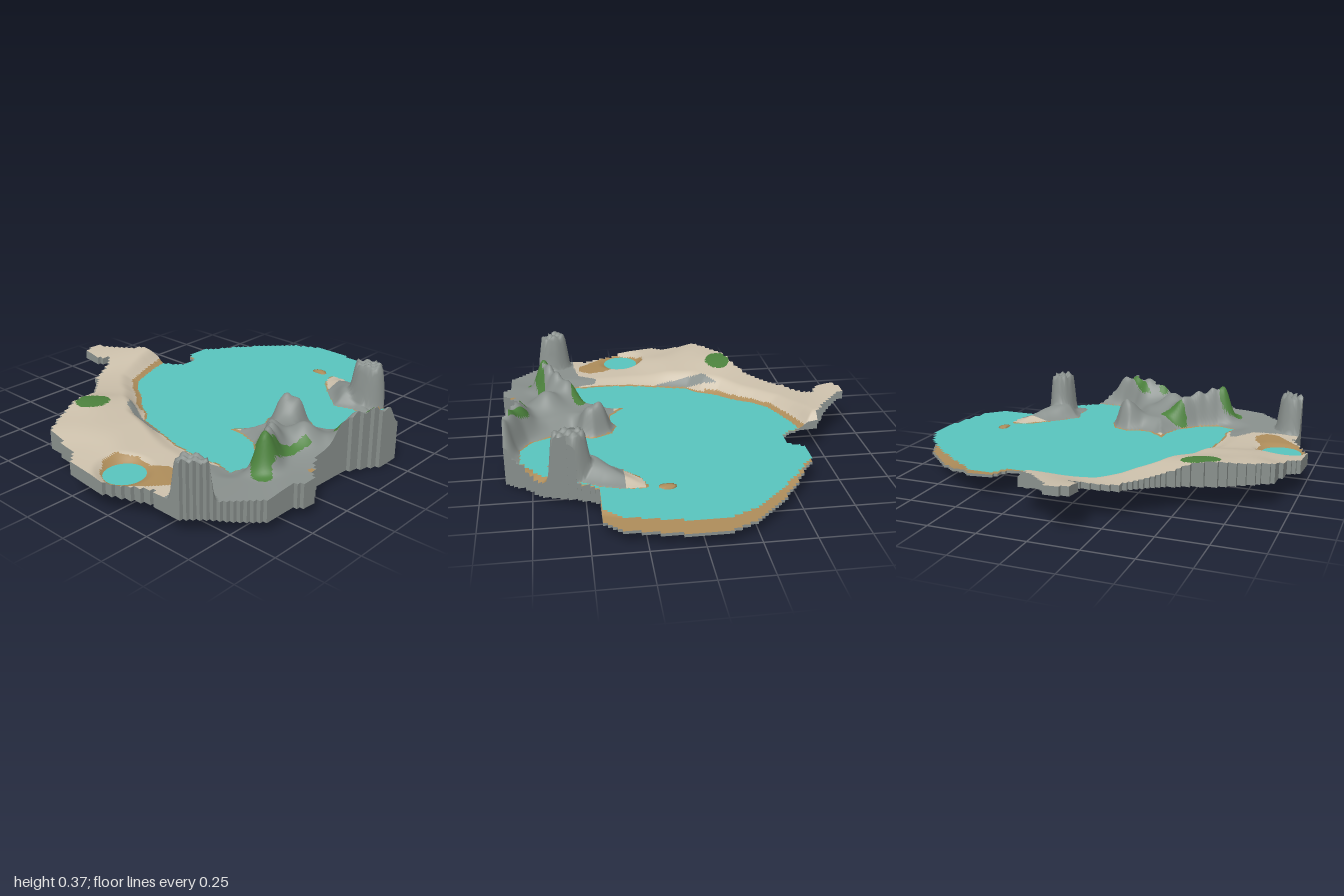
import * as THREE from 'three';

const mat = (name, color, side = THREE.FrontSide) => {
  const m = new THREE.MeshStandardMaterial({ color, side });
  m.name = name;
  return m;
};

// Plan outlines as x, z pairs
const pairs = (a) => a.reduce((p, v, i) => (i % 2 ? p[p.length - 1].push(v) : p.push([v]), p), []);
const OUTLINE = pairs([-0.1, -1, 0.07, -1, 0.19, -0.97, 0.37, -0.93, 0.43, -0.86, 0.44, -0.66, 0.53, -0.6,
  0.72, -0.5, 0.79, -0.38, 0.84, -0.36, 0.89, -0.29, 0.89, -0.22, 0.84, -0.12, 0.81, -0.02, 0.81, 0.24,
  0.86, 0.32, 0.91, 0.39, 0.91, 0.42, 0.86, 0.48, 0.85, 0.64, 0.75, 0.74, 0.68, 0.8, 0.59, 0.9, 0.43, 0.89,
  0.3, 0.95, 0.2, 1, 0, 1, -0.05, 0.94, -0.23, 0.92, -0.3, 0.82, -0.38, 0.66, -0.42, 0.53, -0.52, 0.4,
  -0.65, 0.29, -0.71, 0.17, -0.77, 0.11, -0.8, 0.16, -0.89, 0.16, -0.91, 0.12, -0.91, 0.05, -0.79, -0.06,
  -0.71, -0.17, -0.63, -0.17, -0.52, -0.24, -0.53, -0.34, -0.59, -0.38, -0.59, -0.51, -0.5, -0.64,
  -0.39, -0.78, -0.23, -0.93]);
const LAKE = pairs([-0.63, -0.22, -0.6, -0.1, -0.57, -0.01, -0.52, 0.11, -0.44, 0.18, -0.36, 0.23, -0.27, 0.31,
  -0.18, 0.36, -0.12, 0.42, 0.03, 0.46, 0.19, 0.505, 0.38, 0.52, 0.455, 0.505, 0.55, 0.53, 0.58, 0.43,
  0.53, 0.33, 0.43, 0.24, 0.35, 0.21, 0.25, 0.2, 0.33, 0.12, 0.34, 0.05, 0.31, -0.02, 0.34, -0.1,
  0.43, -0.15, 0.51, -0.13, 0.54, -0.06, 0.64, -0.1, 0.75, -0.16, 0.8, -0.24, 0.8, -0.34, 0.8, -0.38,
  0.9, -0.42, 0.9, -1.2, -0.9, -1.2, -0.9, -0.25]);
const ISLAND = pairs([0.21, -0.69, 0.33, -0.69, 0.44, -0.65, 0.56, -0.57, 0.63, -0.53, 0.61, -0.48, 0.68, -0.42,
  0.64, -0.39, 0.56, -0.4, 0.46, -0.37, 0.4, -0.43, 0.32, -0.5, 0.24, -0.59]);
const ROCK = pairs([0.3, -0.2, 1, -0.5, 1, 1, 0.51, 1, 0.5, 0.8, 0.48, 0.66, 0.38, 0.6, 0.39, 0.55, 0.5, 0.525,
  0.5, 0.35, 0.31, 0.22, 0.31, 0.17]);
const SLAB = pairs([-0.285, 0.375, -0.2, 0.405, -0.13, 0.43, 0.04, 0.473, 0.04, 0.485, -0.13, 0.482, -0.22, 0.455]);
const POND_BANK = pairs([0.085, 0.8, 0.165, 0.735, 0.27, 0.745, 0.335, 0.7, 0.415, 0.69, 0.47, 0.73, 0.465, 0.8,
  0.4, 0.865, 0.32, 0.94, 0.24, 0.985, 0.14, 0.945, 0.085, 0.875]);

const inside = (p, x, z) => p.reduce((c, [ax, az], i) => {
  const [bx, bz] = p[(i + 1) % p.length];
  return (az > z) !== (bz > z) && x < ((bx - ax) * (z - az)) / (bz - az) + ax ? !c : c;
}, false);
const signedDist = (p, x, z) => {
  let d = 9;
  p.forEach(([ax, az], i) => {
    const [bx, bz] = p[(i + 1) % p.length], ux = bx - ax, uz = bz - az;
    const t = THREE.MathUtils.clamp(((x - ax) * ux + (z - az) * uz) / (ux * ux + uz * uz), 0, 1);
    d = Math.min(d, Math.hypot(x - ax - ux * t, z - az - uz * t));
  });
  return inside(p, x, z) ? d : -d;
};
const oval = (x, z, cx, cz, rx, rz) => Math.hypot((x - cx) / rx, (z - cz) / rz);
const smooth = THREE.MathUtils.smoothstep;

// Smooth surface through x, z, height samples
const blend = (pts, sigma) => (x, z) => {
  let s = 0, w = 0;
  for (const [px, pz, h] of pts) {
    const k = Math.exp(-((x - px) ** 2 + (z - pz) ** 2) / (2 * sigma * sigma)) + 1e-9;
    s += k * h; w += k;
  }
  return s / w;
};
const plain = blend([[-0.9, 0.1, 0.245], [-0.8, 0, 0.225], [-0.65, 0.1, 0.18], [-0.58, 0.3, 0.18],
  [-0.45, 0.42, 0.195], [-0.33, 0.58, 0.26], [-0.18, 0.5, 0.2], [-0.25, 0.8, 0.235], [-0.08, 0.68, 0.215],
  [-0.03, 0.92, 0.19], [0.15, 0.62, 0.165], [0.1, 1, 0.165], [0.35, 0.65, 0.155], [0.3, 0.95, 0.148],
  [0.5, 0.6, 0.155], [0.7, 0.65, 0.16], [0.87, 0.4, 0.175], [0.78, 0.15, 0.19], [0.6, 0.1, 0.2],
  [0.45, -0.5, 0.2], [0.25, -0.65, 0.16]], 0.1);
const underside = blend([[-0.9, 0.1, 0.2], [-0.6, 0.3, 0.145], [-0.4, 0.6, 0.125], [-0.2, 0.9, 0.135],
  [0, 1, 0.115], [0.2, 1, 0.085], [0.45, 0.9, 0.075], [0.85, 0.5, 0.055], [0.85, 0.1, 0.025],
  [0.9, -0.3, -0.005], [0.7, -0.5, 0.03], [0.44, -0.75, 0.06], [0, -1, 0.058], [-0.4, -0.8, 0.06],
  [-0.6, -0.45, 0.11], [-0.6, -0.15, 0.13], [0, -0.3, 0.055], [0, 0.3, 0.08], [0.5, 0.1, 0.055]], 0.15);

// Hills: x, z, peak height, radius
const HILLS = [[0.4, -0.055, 0.3, 0.055], [0.45, -0.08, 0.28, 0.06], [0.55, 0.24, 0.3, 0.06],
  [0.6, 0.31, 0.33, 0.05], [0.64, 0.38, 0.345, 0.045], [0.67, 0.435, 0.355, 0.045], [0.66, 0.14, 0.29, 0.075],
  [0.83, 0.03, 0.31, 0.06], [0.82, -0.06, 0.325, 0.06], [0.86, -0.15, 0.33, 0.06], [0.88, -0.23, 0.31, 0.05],
  [0.47, -0.48, 0.21, 0.06]];
// Steep rock stacks: x, z, height, radii
const STACKS = [[0.62, 0.845, 0.35, 0.1, 0.085], [0.57, -0.52, 0.36, 0.1, 0.075]];
const SEA = 0.14;
const islet = (x, z) => 1 - oval(x, z, 0.13, -0.692, 0.044, 0.032);

function height(x, z) {
  const land = Math.max(-signedDist(LAKE, x, z), signedDist(ISLAND, x, z));
  let h;
  if (land > 0) {
    h = SEA + (plain(x, z) - SEA) * smooth(land, 0, 0.1) + 0.002;
    const fade = smooth(land, 0, 0.07);
    for (const [cx, cz, top, r] of HILLS) {
      const g = Math.exp(-(((x - cx) ** 2 + (z - cz) ** 2) / (r * r)) * 0.75);
      h = Math.max(h, h + (top - h) * g * fade);
    }
    h = THREE.MathUtils.lerp(0.132, h, smooth(oval(x, z, 0.21, 0.862, 0.09, 0.095), 0.8, 1.6));
  } else {
    h = Math.min(SEA - 0.004, Math.max(SEA + Math.max(land * 0.5, -0.067), underside(x, z) + 0.014));
    if (islet(x, z) > 0) h = SEA + 0.002 + islet(x, z) * 0.008;
  }
  for (const [cx, cz, top, rx, rz] of STACKS) {
    const k = 1 - smooth(oval(x, z, cx, cz, rx, rz), 0.72, 1.08);
    const rough = 0.015 * Math.sin(x * 95 + z * 40) * Math.cos(z * 110);
    h = Math.max(h, h + (top + rough - h) * k);
  }
  return h;
}

// Ground cover: 0 sand, 1 wet sand, 2 rock, 3 grass
function cover(x, z, h) {
  if (h < SEA) return 1;
  const isle = signedDist(ISLAND, x, z), shore = Math.max(-signedDist(LAKE, x, z), isle);
  if (isle > 0) {
    if (x < 0.23 || (x < 0.32 && z > 1.1 * x - 0.868)) return 1;
    return x < 0.32 ? 0 : 2;
  }
  if (shore < 0) return oval(x, z, 0.57, -0.52, 0.11, 0.09) < 1 ? 2 : 1;
  if (oval(x, z, -0.33, 0.585, 0.067, 0.095) < 1) return 3;
  if (inside(SLAB, x, z)) return 2;
  if (inside(ROCK, x, z)) {
    if (oval(x, z, 0.86, 0.325, 0.025, 0.018) < 1) return 1;
    const strip = Math.abs(x - 0.71 - 0.02 * Math.sin(z * 14)) < 0.022 && z > 0.18 && z < 0.5;
    const rim = Math.abs(z + 0.06 + (x - 0.76) * 1.05) < 0.024 && x > 0.755 && x < 0.85;
    const grass = strip || rim || oval(x, z, 0.49, 0.2, 0.04, 0.075) < 1
      || oval(x, z, 0.71, 0.5, 0.055, 0.04) < 1 || oval(x, z, 0.66, 0.46, 0.035, 0.045) < 1
      || oval(x, z, 0.79, 0.04, 0.025, 0.025) < 1;
    return grass ? 3 : shore < 0.006 ? 1 : 2;
  }
  if (inside(POND_BANK, x, z)) return 1;
  return shore < (x < -0.22 ? 0.03 : 0.013) ? 1 : 0;
}

export function createModel() {
  const group = new THREE.Group();
  const N = 200, S = 2 / N, W = N + 1;
  const sand = mat('sand', 0xccc0ab), wet = mat('wetSand', 0xad8c5a), rock = mat('rock', 0x89908d);
  const grass = mat('grass', 0x4c823d), water = mat('water', 0x58c4bd, THREE.DoubleSide), earth = mat('earth', 0x8a6f4a);

  // Blocky footprint: every mask block covers 2 x 2 grid cells
  const mask = (i, j) => i >= 0 && j >= 0 && i < N && j < N &&
    inside(OUTLINE, ((i >> 1) * 2 + 1) * S - 1, ((j >> 1) * 2 + 1) * S - 1);
  const top = [], base = [], sea = [];
  for (let j = 0; j <= N; j++) for (let i = 0; i <= N; i++) {
    const x = i * S - 1, z = j * S - 1, h = height(x, z);
    top.push(x, h, z);
    base.push(x, Math.max(0, Math.min(underside(x, z), h - 0.012)), z);
    sea.push(x, SEA, z);
  }

  const faces = [[], [], [], []], baseFaces = [], seaFaces = [], wall = [];
  const corner = (a, k) => [a[k * 3], a[k * 3 + 1], a[k * 3 + 2]];
  const addWall = (a, b) => {
    const [ta, tb, ba, bb] = [corner(top, a), corner(top, b), corner(base, a), corner(base, b)];
    wall.push(...ta, ...bb, ...ba, ...ta, ...tb, ...bb);
  };
  for (let j = 0; j < N; j++) for (let i = 0; i < N; i++) {
    if (!mask(i, j)) continue;
    const a = j * W + i, b = a + 1, c = a + W, d = c + 1;
    for (const t of [[a, c, b], [b, c, d]]) {
      const [x, y, z] = [0, 1, 2].map((k) => (top[t[0] * 3 + k] + top[t[1] * 3 + k] + top[t[2] * 3 + k]) / 3);
      faces[cover(x, z, y)].push(...t);
    }
    baseFaces.push(a, b, c, b, d, c);
    if ([a, b, c, d].some((k) => top[k * 3 + 1] < SEA)) seaFaces.push(a, c, b, b, c, d);
    if (!mask(i, j - 1)) addWall(a, b);
    if (!mask(i, j + 1)) addWall(d, c);
    if (!mask(i - 1, j)) addWall(c, a);
    if (!mask(i + 1, j)) addWall(b, d);
  }

  // Shared normals first, then only the used corners are kept
  const add = (name, positions, index, material) => {
    let g = new THREE.BufferGeometry();
    g.setAttribute('position', new THREE.Float32BufferAttribute(positions, 3));
    if (index) g.setIndex(index);
    g.computeVertexNormals();
    if (index) g = g.toNonIndexed();
    const m = new THREE.Mesh(g, material);
    m.name = name;
    group.add(m);
    return g;
  };
  // Terrain surface with one material group per ground cover
  const land = add('terrain', top, faces.flat(), [sand, wet, rock, grass]);
  let start = 0;
  faces.forEach((f, k) => { land.addGroup(start, f.length, k); start += f.length; });
  add('rimWall', wall, null, rock);
  add('underside', base, baseFaces, earth);
  add('waterSurface', sea, seaFaces, water);
  return group;
}
